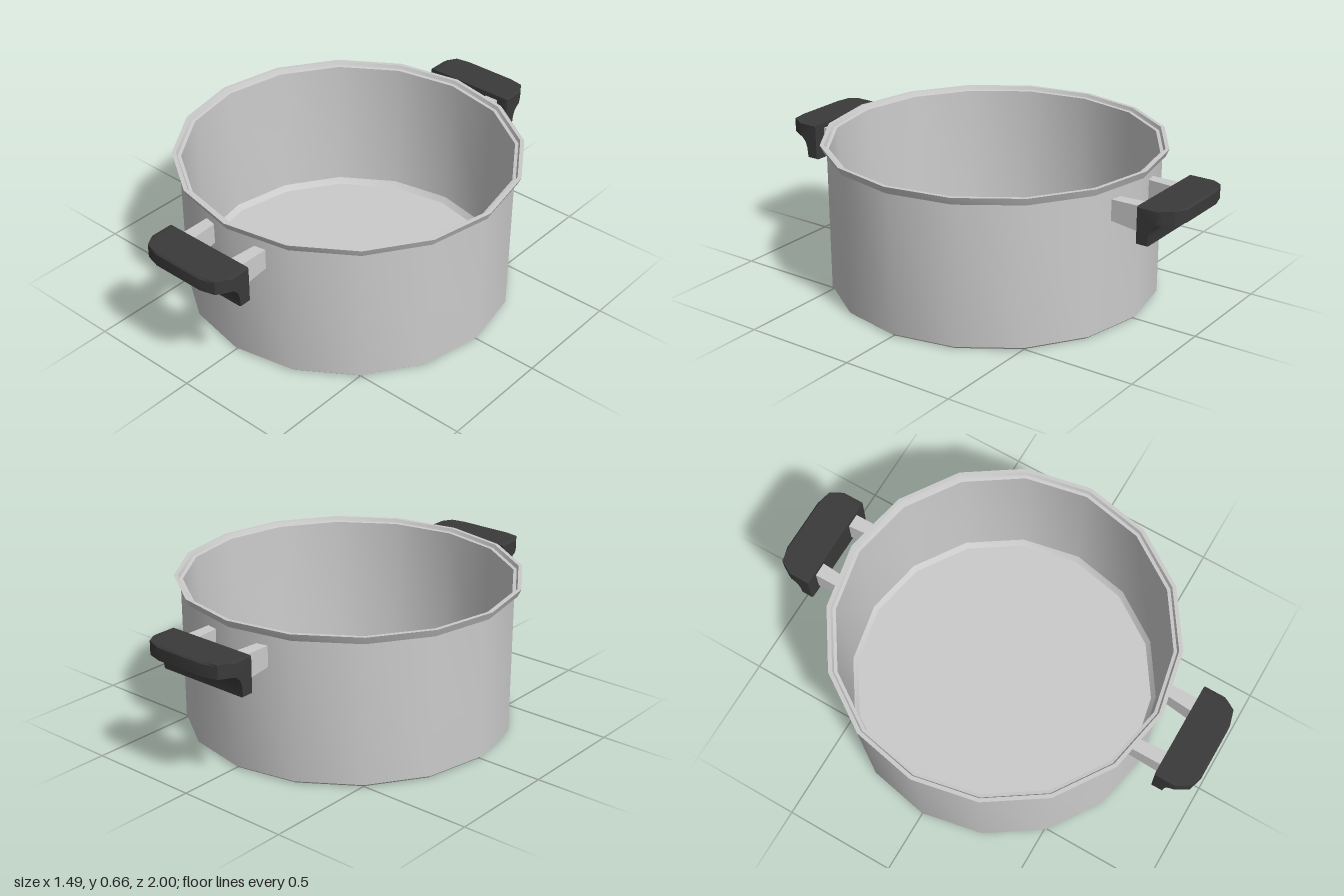
import * as THREE from 'three';
import { toCreasedNormals } from 'three/addons/utils/BufferGeometryUtils.js';

const steel = new THREE.MeshStandardMaterial({ color: 0xcccccc });
const black = new THREE.MeshStandardMaterial({ color: 0x3a3a3a });

function addMesh(parent, name, geometry, material) {
  const mesh = new THREE.Mesh(toCreasedNormals(geometry, 0.5), material);
  mesh.name = name;
  parent.add(mesh);
  return mesh;
}

// Sixteen-sided pot: outer wall, flared lip, stepped rim, inner wall and floor
function potGeometry() {
  const profile = [
    [0, 0], [0.705, 0], [0.716, 0.01], [0.716, 0.625], [0.73, 0.627],
    [0.745, 0.66], [0.728, 0.66], [0.721, 0.645], [0.707, 0.643],
    [0.69, 0.045], [0.67, 0.02], [0, 0.02],
  ].map(([r, y]) => new THREE.Vector2(r, y));
  return new THREE.LatheGeometry(profile, 16);
}

// Grip: a hooked (z, y) profile lofted along x, its outer edge cut back at the ends
function gripGeometry() {
  const profile = [
    [0.83, 0.44], [0.882, 0.44], [0.886, 0.485], [0.896, 0.515], [0.914, 0.533],
    [0.94, 0.54], [1, 0.54], [1, 0.593], [0.993, 0.6], [0.83, 0.6],
  ];
  // Each station: x, furthest z, scale of the section
  const half = [[0.12, 1, 1], [0.185, 0.982, 1], [0.21, 0.94, 1], [0.218, 0.926, 0.95]];
  const stations = [...half.map(([x, z, s]) => [-x, z, s]).reverse(), ...half];
  const n = profile.length;
  const positions = [];
  const index = [];
  for (const [x, zMax, s] of stations) {
    for (const [z, y] of profile) {
      positions.push(x, 0.53 + (y - 0.53) * s, 0.88 + (Math.min(z, zMax) - 0.88) * s);
    }
  }
  for (let k = 0; k < stations.length - 1; k++) {
    for (let i = 0; i < n; i++) {
      const a = k * n + i;
      const b = k * n + (i + 1) % n;
      index.push(a, a + n, b, b, a + n, b + n);
    }
  }
  // End caps
  const outline = profile.map(([z, y]) => new THREE.Vector2(z, y));
  const last = (stations.length - 1) * n;
  for (const [a, b, c] of THREE.ShapeUtils.triangulateShape(outline, [])) {
    index.push(a, b, c, last + a, last + c, last + b);
  }
  const geometry = new THREE.BufferGeometry();
  geometry.setAttribute('position', new THREE.Float32BufferAttribute(positions, 3));
  geometry.setIndex(index);
  return geometry;
}

// Bracket: a bar that grows slightly wider and deeper towards the grip
function bracketGeometry() {
  const geometry = new THREE.BoxGeometry(1, 1, 1);
  const p = geometry.attributes.position;
  for (let i = 0; i < p.count; i++) {
    const outer = p.getZ(i) > 0;
    const x = p.getX(i) > 0 ? 0.163 : outer ? 0.1 : 0.113;
    const y = p.getY(i) > 0 ? 0.578 : outer ? 0.466 : 0.487;
    p.setXYZ(i, x, y, outer ? 0.84 : 0.683);
  }
  return geometry;
}

function createHandle(name) {
  const handle = new THREE.Group();
  handle.name = name;
  addMesh(handle, 'grip', gripGeometry(), black);
  addMesh(handle, 'leftBracket', bracketGeometry(), steel);
  // Turn the second bracket's mirrored corners back to face outwards
  const mirrored = bracketGeometry();
  mirrored.scale(-1, 1, 1);
  mirrored.setIndex(Array.from(mirrored.index.array).reverse());
  addMesh(handle, 'rightBracket', mirrored, steel);
  return handle;
}

export function createModel() {
  const model = new THREE.Group();
  model.name = 'cookingPot';
  addMesh(model, 'pot', potGeometry(), steel);
  const back = createHandle('backHandle');
  back.rotation.y = Math.PI;
  model.add(createHandle('frontHandle'), back);
  return model;
}
